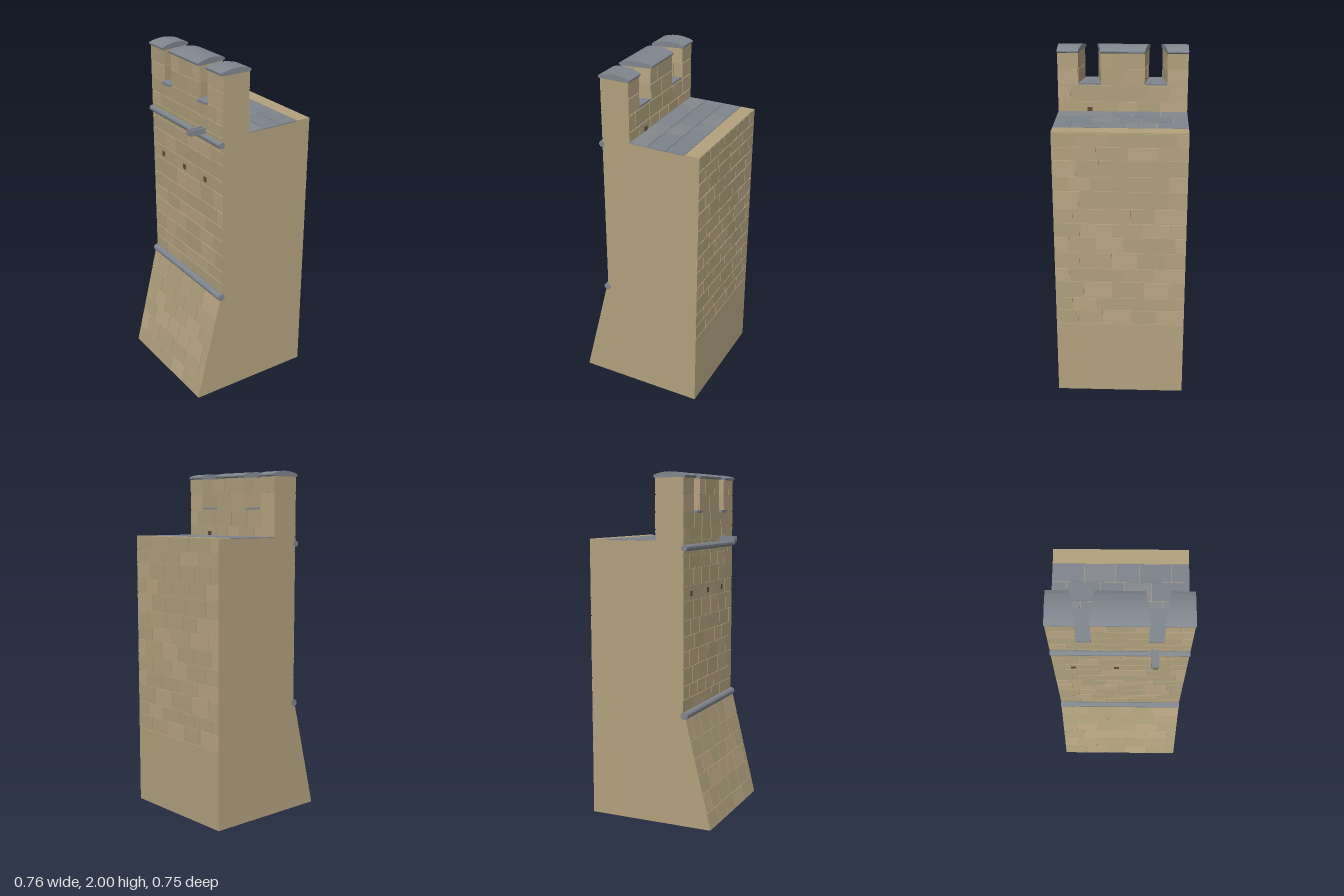
import * as THREE from 'three';
import { mergeGeometries } from 'three/addons/utils/BufferGeometryUtils.js';

const D = 0.373;                        // half length along z
const OUT = -0.205, IN = -0.045;        // parapet core faces
const DECK = 1.63, SILL = 1.785, TOP = 1.972;
const V = (x, y, z) => new THREE.Vector3(x, y, z);
const mat = (color) => new THREE.MeshStandardMaterial({ color, flatShading: true });

export function createModel() {
  const model = new THREE.Group();
  const stone = mat(0xb3a17d);
  const bricks = [mat(0xb3a17d), mat(0xb9a582), mat(0xaea07c)];
  const slate = mat(0x80868e);
  const slabs = [slate, mat(0x84888d), mat(0x7c838b)];
  const joint = mat(0x5a4c36);

  let seed = 7;
  const rand = () => (seed = (seed * 16807) % 2147483647) / 2147483647;

  const add = (name, geo, material, parent = model) => {
    const m = new THREE.Mesh(geo, material);
    m.name = name;
    parent.add(m);
    return m;
  };

  // Raised blocks laid in staggered rows on the plane a->b (across) and up (row direction)
  function courses(name, a, b, up, rows, len, mats = bricks, depth = 0.005, gap = 0.005) {
    const u = b.clone().sub(a), width = u.length();
    u.normalize();
    const v = up.clone().normalize(), n = u.clone().cross(v);
    const buckets = mats.map(() => []);
    for (let r = 0; r + 1 < rows.length; r++) {
      const y0 = rows[r], y1 = rows[r + 1] - gap;
      let s = 0;
      let e = len * (r % 2 ? 0.5 : 0.85) + len * 0.25 * rand();
      while (s < width - 1e-6) {
        if (e > width - len * 0.35) e = width;
        const w = e - s - (e < width ? gap : 0);
        const g = new THREE.BoxGeometry(w, y1 - y0, depth + 0.002);
        g.translate(s + w / 2, (y0 + y1) / 2, depth / 2 - 0.001);
        buckets[Math.floor(rand() * mats.length)].push(g);
        s = e;
        e += len * (0.8 + 0.4 * rand());
      }
    }
    const group = new THREE.Group();
    group.name = name;
    buckets.forEach((list, i) => list.length && add(name + 'Blocks', mergeGeometries(list), mats[i], group));
    group.applyMatrix4(new THREE.Matrix4().makeBasis(u, v, n).setPosition(a));
    model.add(group);
  }

  // Profile in x/y, swept along z between two plan lines zA(x) and zB(x)
  function sweep(points, zA, zB) {
    const shape = new THREE.Shape(points.map(([x, y]) => new THREE.Vector2(x, y)));
    const g = new THREE.ExtrudeGeometry(shape, { depth: 1, bevelEnabled: false });
    const p = g.attributes.position;
    for (let i = 0; i < p.count; i++) {
      const x = p.getX(i), t = p.getZ(i);
      p.setZ(i, zA(x) * (1 - t) + zB(x) * t);
    }
    g.computeVertexNormals();
    return g;
  }
  const line = (zOut, zIn) => (x) => zOut + (zIn - zOut) * (x + 0.21) / 0.17;
  const flat = (z) => () => z;

  // Wall body with battered foot
  add('wallBody', sweep([
    [-0.375, 0], [0.376, 0], [0.376, 0.455], [0.371, 0.455], [0.371, 1.622], [0.376, 1.622],
    [0.376, DECK], [0.29, DECK], [0.29, 1.626], [IN, 1.626], [IN, SILL], [OUT, SILL],
    [OUT, 0.65], [-0.217, 0.64],
  ], flat(-D), flat(D)), stone);

  // Brickwork: inner face, battered foot, outer face, parapet
  const up = V(0, 1, 0);
  courses('innerBrickwork', V(0.371, 0, D), V(0.371, 0, -D), up,
    [0.46, 0.55, 0.63, 0.735, 0.82, 0.92, 1.015, 1.1, 1.19, 1.295, 1.38, 1.475, 1.55, 1.626], 0.155);
  courses('footBrickwork', V(-0.375, 0, -D), V(-0.375, 0, D), V(0.158, 0.64, 0),
    [0, 0.1, 0.215, 0.325, 0.42, 0.525, 0.655], 0.14);
  courses('outerBrickwork', V(OUT, 0, -D), V(OUT, 0, D), up,
    [0.66, 0.74, 0.82, 0.92, 1.015, 1.1, 1.19, 1.295, 1.38, 1.475, 1.55, 1.63, 1.7, SILL], 0.14);
  courses('parapetBrickwork', V(IN, 0, D), V(IN, 0, -D), up, [1.63, 1.69, SILL], 0.13);

  // Walkway paving
  courses('walkwayPaving', V(IN, 1.626, -D), V(IN, 1.626, D), V(1, 0, 0),
    [0.005, 0.112, 0.225, 0.335], 0.16, slabs, 0.004, 0.003);

  // Merlons: plan edges [outer z, inner z], splayed embrasures between them
  const merlons = [
    [[-D, -D], [-0.228, -0.258]],
    [[-0.147, -0.122], [0.147, 0.122]],
    [[0.228, 0.258], [D, D]],
  ];
  const rows = [SILL, 1.88, TOP + 0.005];
  merlons.forEach(([a, b]) => {
    const zA = line(...a), zB = line(...b);
    add('merlon', sweep([[OUT, SILL], [IN, SILL], [IN, TOP], [OUT, TOP]], zA, zB), stone);
    courses('merlonInner', V(IN, 0, zB(IN)), V(IN, 0, zA(IN)), up, rows, 0.13);
    courses('merlonOuter', V(OUT, 0, zA(OUT)), V(OUT, 0, zB(OUT)), up, rows, 0.14);
    if (b[0] < D) courses('merlonCheek', V(OUT, 0, zB(OUT)), V(IN, 0, zB(IN)), up, rows, 0.11, bricks, 0.003);
    if (a[0] > -D) courses('merlonCheek', V(IN, 0, zA(IN)), V(OUT, 0, zA(OUT)), up, rows, 0.11, bricks, 0.003);

    // Arched coping stone
    const arch = [[-0.214, 1.968], [-0.036, 1.968], [-0.031, 1.974], [-0.031, 1.982]];
    for (let i = 1; i < 10; i++) {
      const t = i / 10;
      arch.push([-0.031 - 0.189 * t, 1.985 + 0.015 * Math.sin(Math.PI * t)]);
    }
    arch.push([-0.22, 1.982], [-0.22, 1.974]);
    const lipA = a[0] > -D ? 0.006 : 0.001, lipB = b[0] < D ? 0.006 : 0.001;
    add('coping', sweep(arch, (x) => zA(x) - lipA, (x) => zB(x) + lipB), slate);
  });

  // Embrasure sills
  [-1, 1].forEach((s) => {
    const ends = [line(s * 0.147, s * 0.122), line(s * 0.228, s * 0.258)];
    if (s < 0) ends.reverse();
    add('embrasureSill', sweep([[-0.227, 1.775], [-0.206, 1.775], [-0.206, SILL - 0.002],
      [IN, SILL - 0.002], [IN, 1.794], [-0.227, 1.79]], ...ends), slate);
  });

  // Rounded string courses on the outer face
  [[-0.215, 0.648, 0.022], [-0.214, 1.588, 0.018]].forEach(([x, y, r]) => {
    const g = new THREE.CylinderGeometry(r, r, 2 * D + 0.002, 10);
    add('stringCourse', g.rotateX(Math.PI / 2).translate(x, y, 0), slate);
  });

  // Drain spout: open channel, with its inlet on the walkway side
  const channel = new THREE.Shape([[-0.021, 0], [0.021, 0], [0.021, 0.032], [0.009, 0.032],
    [0.009, 0.014], [-0.009, 0.014], [-0.009, 0.032], [-0.021, 0.032]].map(([x, y]) => new THREE.Vector2(x, y)));
  const spout = new THREE.ExtrudeGeometry(channel, { depth: 0.105, bevelEnabled: false });
  add('drainSpout', spout.rotateY(-Math.PI / 2).translate(-0.2, 1.605, 0.185), slate);
  add('drainInlet', new THREE.BoxGeometry(0.01, 0.025, 0.03).translate(-0.0435, 1.642, 0.19), joint);

  // Small scaffold holes in the outer face
  [-0.26, -0.02, 0.2].forEach((z) =>
    add('scaffoldHole', new THREE.BoxGeometry(0.01, 0.03, 0.028).translate(-0.206, 1.33, z), joint));

  return model;
}
